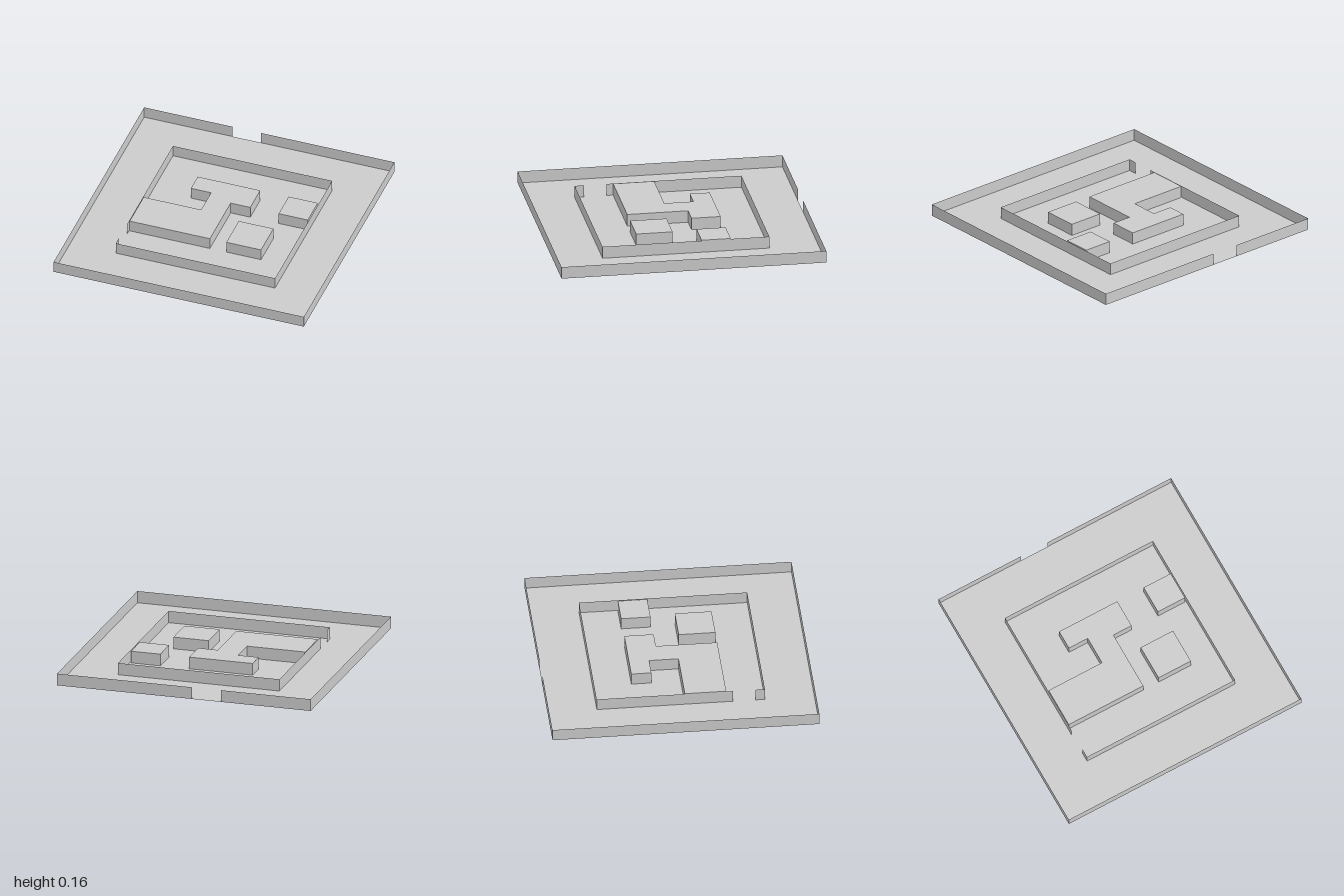
import * as THREE from 'three';

const FLOOR = 0.068, TOP = 0.16, TAPER = 0.03;
const material = new THREE.MeshStandardMaterial({ color: 0xcccccc, flatShading: true, side: THREE.DoubleSide });

// Thin upright wall along a polyline of [x, z] points
function wall(name, points) {
  const group = new THREE.Group();
  group.name = name;
  for (let i = 0; i < points.length - 1; i++) {
    const [x0, z0] = points[i], [x1, z1] = points[i + 1];
    const panel = new THREE.Mesh(new THREE.PlaneGeometry(Math.hypot(x1 - x0, z1 - z0), TOP - FLOOR), material);
    panel.name = name + 'Panel';
    panel.position.set((x0 + x1) / 2, (FLOOR + TOP) / 2, (z0 + z1) / 2);
    panel.rotation.y = -Math.atan2(z1 - z0, x1 - x0);
    group.add(panel);
  }
  return group;
}

// Shrink a right-angled outline by d on every side
function inset(outline, d) {
  const n = outline.length;
  return outline.map(([x, z], i) => {
    let ox = 0, oz = 0;
    for (const [a, b] of [[outline[(i + n - 1) % n], outline[i]], [outline[i], outline[(i + 1) % n]]]) {
      ox -= Math.sign(b[1] - a[1]) * d;
      oz += Math.sign(b[0] - a[0]) * d;
    }
    return [x + ox, z + oz];
  });
}

// Block standing on the floor, with a tapered foot below it
function block(name, outline) {
  const n = outline.length;
  const rings = [[inset(outline, TAPER), 0], [outline, FLOOR], [outline, TOP]];
  const positions = rings.flatMap(([ring, y]) => ring.flatMap(([x, z]) => [x, y, z]));
  const index = [];
  for (let r = 0; r < 2; r++) {
    for (let i = 0; i < n; i++) {
      const a = r * n + i, b = r * n + (i + 1) % n;
      index.push(a, a + n, b, b, a + n, b + n);
    }
  }
  // Bottom and top caps
  const caps = THREE.ShapeUtils.triangulateShape(outline.map(([x, z]) => new THREE.Vector2(x, z)), []);
  for (const [a, b, c] of caps) index.push(a, b, c, 2 * n + a, 2 * n + c, 2 * n + b);
  const indexed = new THREE.BufferGeometry();
  indexed.setAttribute('position', new THREE.Float32BufferAttribute(positions, 3));
  indexed.setIndex(index);
  const geometry = indexed.toNonIndexed();
  geometry.computeVertexNormals();
  const mesh = new THREE.Mesh(geometry, material);
  mesh.name = name;
  return mesh;
}

const rect = (x0, z0, x1, z1) => [[x0, z0], [x1, z0], [x1, z1], [x0, z1]];

export function createModel() {
  const model = new THREE.Group();
  model.name = 'walledCourt';

  const floor = new THREE.Mesh(new THREE.PlaneGeometry(1.98, 2), material);
  floor.name = 'floor';
  floor.rotation.x = -Math.PI / 2;
  floor.position.y = FLOOR;
  model.add(floor);

  // Outer wall with a gateway at the back, inner wall with a gap in its side
  const w = 0.99, r = 0.63;
  model.add(wall('outerWall', [[-0.065, -1], [w, -1], [w, 1], [-w, 1], [-w, -1], [-0.29, -1]]));
  model.add(wall('innerWall', [[-r, 0.39], [-r, -r], [r, -r], [r, r], [-r, r], [-r, 0.56]]));

  // Buildings inside the inner wall
  model.add(block('mainBuilding', [
    [-0.33, -0.34], [0.165, -0.34], [0.165, -0.12], [0.01, -0.12], [0.01, 0.34],
    [-0.625, 0.34], [-0.625, 0.03], [-0.17, 0.03], [-0.17, -0.19], [-0.33, -0.19],
  ]));
  model.add(block('backBuilding', rect(0.39, -0.34, 0.62, -0.12)));
  model.add(block('frontBuilding', rect(0.14, 0.065, 0.415, 0.34)));
  return model;
}
